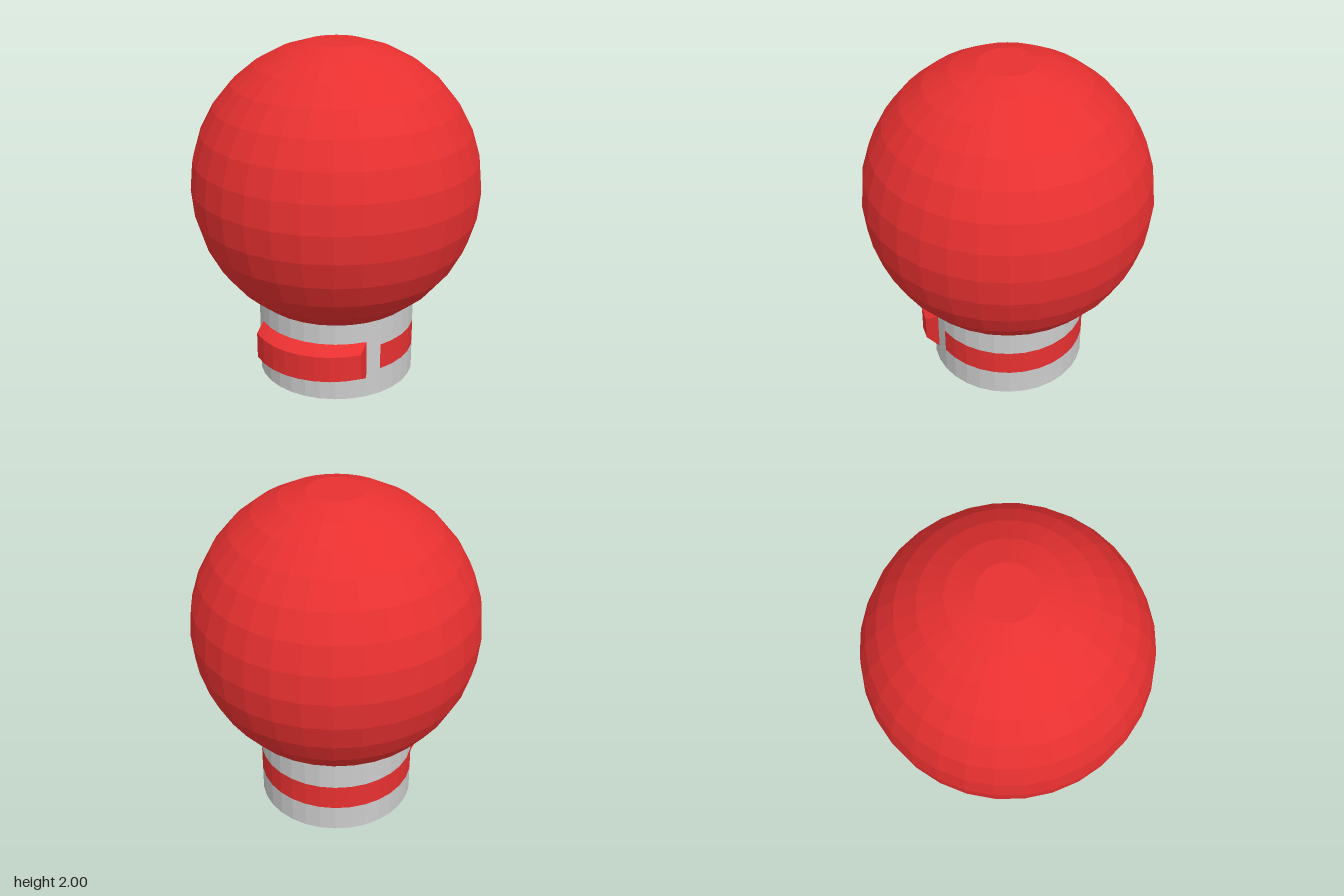
import * as THREE from 'three';

const SIDES = 32, STEP = (Math.PI * 2) / SIDES;
const R = 0.83, CENTER_Y = 1.186, NECK_R = R * Math.sin(13 * STEP);
const NECK_TOP = CENTER_Y + R * Math.cos(13 * STEP);
const BAND_LOW = 0.18, BAND_HIGH = 0.335;

export function createModel() {
  const group = new THREE.Group();
  const material = (color) => new THREE.MeshStandardMaterial({ color, flatShading: true, side: THREE.DoubleSide });
  const red = material(0xe83030), grey = material(0xcccccc);

  const add = (name, geometry, mat) => {
    const mesh = new THREE.Mesh(geometry, mat);
    mesh.name = name;
    group.add(mesh);
    return mesh;
  };

  // Revolved shell from [radius, height] pairs (bottom to top), spanning whole facets
  const shell = (name, points, mat, first = 0, count = SIDES) =>
    add(name, new THREE.LatheGeometry(points.map(([r, y]) => new THREE.Vector2(r, y)), count, first * STEP, count * STEP), mat);

  // Faceted globe with a flat top, open where it meets the base
  const globe = [];
  for (let i = 13; i >= 1; i--) globe.push([R * Math.sin(i * STEP), CENTER_Y + R * Math.cos(i * STEP)]);
  globe.push([0, CENTER_Y + R * Math.cos(STEP)]);
  shell('globe', globe, red).rotation.y = -0.012;

  // Cylindrical base with a slightly domed underside
  shell('baseLower', [[0, 0], [NECK_R, 0.02], [NECK_R, BAND_LOW]], grey);
  shell('baseUpper', [[NECK_R, BAND_HIGH], [NECK_R, NECK_TOP]], grey);

  // Flush band, interrupted by a plain section at the front
  const ring = [[NECK_R, BAND_LOW], [NECK_R, BAND_HIGH]];
  shell('band', ring, red, 5, SIDES - 10);
  shell('baseFront', ring, grey, -5, 10);

  // Raised front plate: an arc of bevelled cross-sections pushed out along z
  const positions = [], index = [], depth = 0.085;
  for (let i = -4; i <= 4; i++) {
    const x = NECK_R * Math.sin(i * STEP), z = NECK_R * Math.cos(i * STEP);
    positions.push(x, 0.14, z, x, BAND_LOW, z + depth, x, BAND_HIGH, z + depth, x, 0.375, z);
  }
  for (let i = 0; i < 8; i++) {
    for (let j = 0; j < 4; j++) {
      const a = i * 4 + j, b = i * 4 + (j + 1) % 4, c = a + 4, d = b + 4;
      index.push(a, c, b, b, c, d);
    }
  }
  index.push(0, 1, 2, 0, 2, 3, 32, 34, 33, 32, 35, 34);
  const plate = new THREE.BufferGeometry();
  plate.setAttribute('position', new THREE.Float32BufferAttribute(positions, 3));
  plate.setIndex(index);
  const plateFlat = plate.toNonIndexed();
  plateFlat.computeVertexNormals();
  add('frontPlate', plateFlat, red);

  return group;
}
